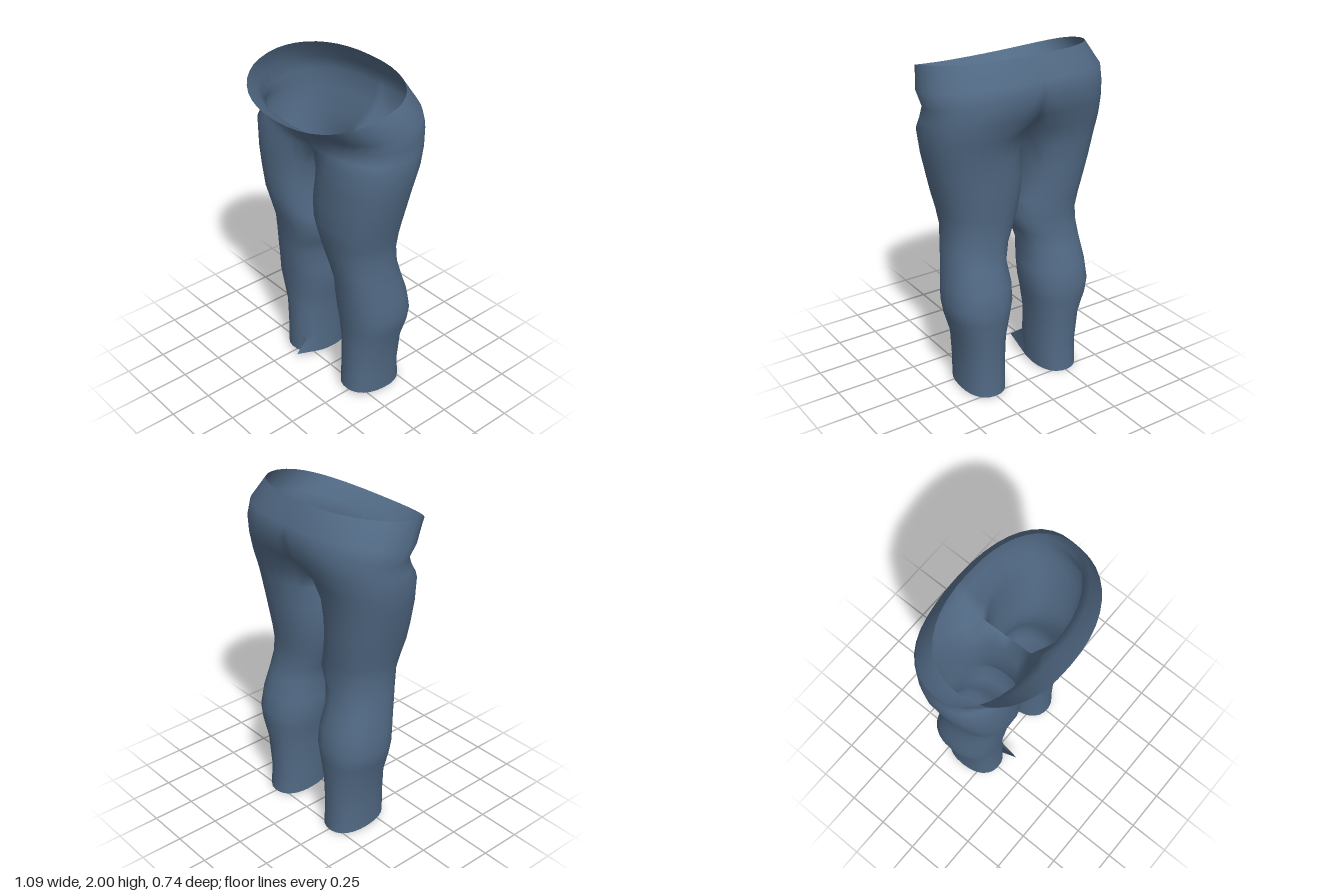
import * as THREE from 'three';
import { mergeVertices } from 'three/addons/utils/BufferGeometryUtils.js';

const OUTER = 20; // columns from the front seam round the outside to the back seam
const INNER = 6;  // columns along the inside leg, back to front
const COLS = OUTER + INNER;

// Trunk sections, waist to crotch:
// [yFront, ySide, yBack, outer x, inner x, zFront, zBack, seam angle]
const TRUNK = [
  [1.83, 1.95, 2.00, 0.49, -0.49, 0.37, -0.29, 0],
  [1.77, 1.83, 1.88, 0.545, -0.545, 0.265, -0.36, 0],
  [1.71, 1.74, 1.80, 0.53, -0.38, 0.207, -0.375, 0.22],
  [1.66, 1.66, 1.68, 0.54, -0.24, 0.205, -0.345, 0.42],
  [1.61, 1.57, 1.57, 0.543, -0.02, 0.21, -0.295, 0.9],
];

// Leg sections, thigh to hem: [y, outer x, inner x, zFront, zBack]
const LEG = [
  [1.45, 0.52, 0.005, 0.21, -0.27],
  [1.32, 0.49, 0.005, 0.208, -0.258],
  [1.20, 0.46, 0.005, 0.205, -0.247],
  [1.10, 0.435, 0.005, 0.185, -0.235],
  [1.01, 0.42, 0.005, 0.165, -0.225],
  [0.90, 0.425, 0.05, 0.145, -0.225],
  [0.80, 0.435, 0.08, 0.13, -0.25],
  [0.68, 0.452, 0.068, 0.115, -0.29],
  [0.57, 0.46, 0.072, 0.105, -0.31],
  [0.48, 0.445, 0.088, 0.093, -0.303],
  [0.35, 0.402, 0.112, 0.085, -0.285],
  [0.15, 0.386, 0.117, 0.087, -0.275],
  [0.015, 0.385, 0.12, 0.09, -0.285],
];

const CROTCH = TRUNK.length - 1; // ring where the trunk splits into two legs
const HEM = CROTCH + LEG.length;

const softPow = (v) => Math.sign(v) * Math.abs(v) ** 0.88;

// Angle of column i when the seam lies at the given angle past the centre front
const columnAngle = (i, seam) => (i <= OUTER
  ? -seam + (Math.PI + 2 * seam) * i / OUTER
  : Math.PI + seam + (Math.PI - 2 * seam) * (i - OUTER) / INNER);

// Trunk: half sections that meet their mirror image at x = 0
function trunkPoint(r, i, side) {
  if (i > OUTER) { // seam under the crotch, shared by both legs
    return trunkPoint(r, OUTER, side).lerp(trunkPoint(r, 0, side), (i - OUTER) / INNER);
  }
  const [yF, yS, yB, xo, xi, zF, zB, seam] = TRUNK[r];
  const a = columnAngle(i, seam), c = softPow(Math.cos(a));
  const round = (xo + xi) / 2 + (xo - xi) / 2 * softPow(Math.sin(a));
  const x = i === 0 || i === OUTER ? 0 : Math.max(round, 0.003);
  const z = (zF + zB) / 2 + (zF - zB) / 2 * c;
  let y = yS + (c > 0 ? (yF - yS) * c : (yS - yB) * c);
  if (r === 0) y = 1.955 - (z > 0 ? 0.2 * z + 0.37 * z * z : 0.16 * z); // waistline
  return new THREE.Vector3(side * x, y, z);
}

// Legs: closed sections, the inner thighs both leaning slightly to the right
function legPoint(r, i, side) {
  const [yMid, xo, xIn, zF, zB] = LEG[r];
  const sway = yMid > 1.01 ? 0.05 * Math.sin(Math.PI * (yMid - 1.01) / 0.56) : 0;
  const xi = xIn - side * sway;
  const a = columnAngle(i, 0.95), c = softPow(Math.cos(a));
  const x = (xo + xi) / 2 + (xo - xi) / 2 * softPow(Math.sin(a));
  const p = new THREE.Vector3(side * x, yMid, (zF + zB) / 2 + (zF - zB) / 2 * c);
  if (r === LEG.length - 1) {
    p.y += 0.015 * c; // hem dips at the back
    if (side < 0 && i === 0) p.set(p.x, 0.07, 0.15); // pulled-up corner
  }
  return p;
}

const ringPoint = (r, i, side) => (r <= CROTCH
  ? trunkPoint(r, i % COLS, side)
  : legPoint(r - CROTCH - 1, i % COLS, side));

// Left and right halves, welded along the centre seam
function trouserGeometry() {
  const pos = [];
  const tri = (a, b, c, side) => {
    for (const p of side > 0 ? [a, b, c] : [a, c, b]) pos.push(p.x, p.y, p.z);
  };
  for (const side of [1, -1]) {
    for (let r = 0; r < HEM; r++) {
      const cols = r < CROTCH ? OUTER : COLS;
      for (let i = 0; i < cols; i++) {
        const a = ringPoint(r, i, side), b = ringPoint(r, i + 1, side);
        const c = ringPoint(r + 1, i, side), d = ringPoint(r + 1, i + 1, side);
        tri(a, c, b, side);
        tri(b, c, d, side);
      }
    }
  }
  const soup = new THREE.BufferGeometry();
  soup.setAttribute('position', new THREE.Float32BufferAttribute(pos, 3));
  const geo = mergeVertices(soup, 1e-4);
  geo.computeVertexNormals();
  return geo;
}

export function createModel() {
  const group = new THREE.Group();
  group.name = 'trousers';
  const cloth = new THREE.MeshStandardMaterial({ color: 0x516984, side: THREE.DoubleSide });
  cloth.name = 'slate blue cloth';
  const trousers = new THREE.Mesh(trouserGeometry(), cloth);
  trousers.name = 'trouserCloth';
  group.add(trousers);
  return group;
}
